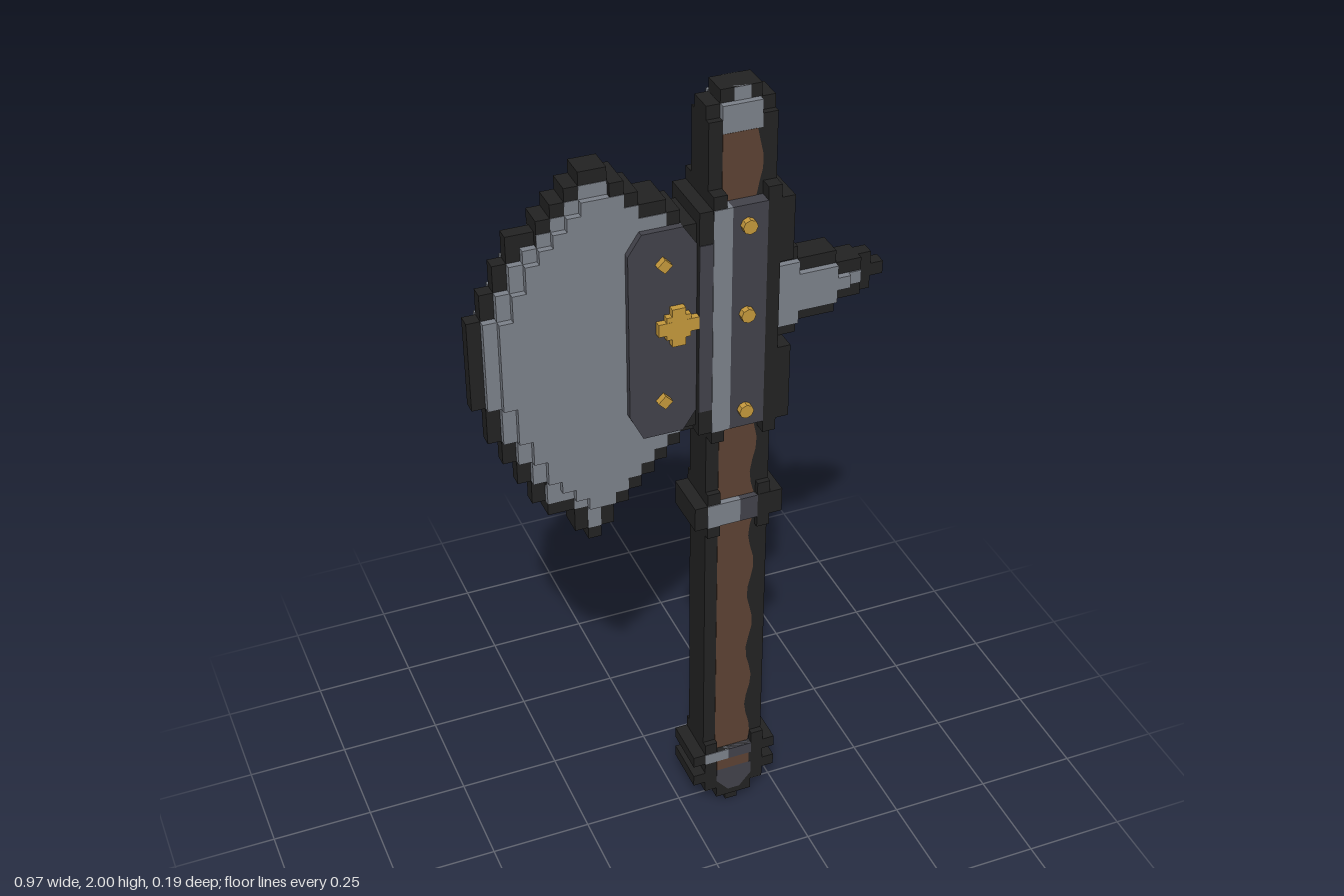
import * as THREE from 'three';

const U = 1 / 32;                       // one grid cell
const X = (c) => (c - 15.5) * U;        // column to x
const mat = (name, color) => Object.assign(new THREE.MeshStandardMaterial({ color }), { name });

export function createModel() {
  const model = new THREE.Group();
  model.name = 'battleAxe';
  const black = mat('black outline', 0x222222);
  const steel = mat('steel', 0x7c818a);
  const iron = mat('dark iron', 0x42424a);
  const wood = mat('brown wood', 0x5c4233);
  const gold = mat('gold', 0xc4983c);

  const add = (name, geometry, material) => {
    const mesh = new THREE.Mesh(geometry, material);
    mesh.name = name;
    model.add(mesh);
    return mesh;
  };
  // Box between grid columns and rows, reaching z cells to front and back
  const box = (name, m, c0, c1, r0, r1, z) => {
    const g = new THREE.BoxGeometry((c1 - c0) * U, (r1 - r0) * U, 2 * z * U);
    return add(name, g.translate(X((c0 + c1) / 2), (r0 + r1) / 2 * U, 0), m);
  };
  // Extruded outline given in grid cells
  const plate = (name, m, points, z) => {
    const shape = new THREE.Shape(points.map(([c, r]) => new THREE.Vector2(X(c), r * U)));
    const g = new THREE.ExtrudeGeometry(shape, { depth: 2 * z * U, bevelEnabled: false });
    return add(name, g.translate(0, 0, -z * U), m);
  };
  // Stepped slab from rows of [row, first column, last column]
  const slab = (name, m, rows, z) => {
    const ok = rows.filter(([, a, b]) => b > a);
    const right = ok.flatMap(([y, , b]) => [[b, y], [b, y + 1]]);
    const left = ok.flatMap(([y, a]) => [[a, y], [a, y + 1]]).reverse();
    return plate(name, m, [...right, ...left], z);
  };
  const inset = (rows) => rows.slice(1, -1).map(([y, a, b], i) => [y,
    Math.max(rows[i][1], a + 1, rows[i + 2][1]), Math.min(rows[i][2], b - 1, rows[i + 2][2])]);
  const clampLeft = (rows, c) => rows.map(([y, a, b]) => [y, Math.max(a, c), b]);
  const clampRight = (rows, c) => rows.map(([y, a, b]) => [y, a, Math.min(b, c)]);

  // Blade: dark stepped rim with steel thickening towards the middle
  const bladeLeft = [8, 7, 7, 5, 4, 4, 3, 3, 2, 2, 1, 1, 1, 0, 0, 0, 0, 0, 0, 0, 1, 1, 2, 2, 3, 3, 5, 6, 7, 8];
  const bladeRight = [9, 10, 10, 11, 12, 13, 14, 15, 16, 16, ...Array(14).fill(17), 16, 15, 14, 12, 11, 10];
  const blade = bladeLeft.map((a, i) => [30 + i, a, bladeRight[i]]);
  slab('bladeRim', black, blade, 0.5);
  slab('bladeRimMiddle', black, clampLeft(blade, 5), 0.98);
  slab('bladeRimInner', black, clampLeft(blade, 10), 1.45);
  const bevel = inset(blade);
  const face = inset(bevel).map(([y, a], i) => [y, a, bevel[i + 1][2]]);
  slab('bladeBevel', steel, bevel, 1.02);
  slab('bladeFace', steel, face, 1.5);

  // Rear spike
  const spike = [24, 27, 30, 31, 30, 27, 24].map((b, i) => [44 + i, 20, b]);
  slab('spikeTip', black, spike, 0.5);
  slab('spikeRim', black, clampRight(spike, 29), 1);
  slab('spikeFace', steel, clampRight(inset(spike), 29), 1.1);
  slab('spikeCore', steel, clampRight(inset(spike), 28), 1.5);

  // Handle: dark sides, wood faces with a wavy edge, steel cap
  box('handleSides', black, 17, 22, 6, 62, 1.48);
  box('handleTop', black, 17, 22, 62, 63, 1);
  box('handleTip', black, 18, 21, 63, 64, 1);
  const edge = [];
  for (let r = 6; r <= 61; r += 1) edge.push([20.75 + 0.25 * Math.sin(r * 1.1), r]);
  plate('handleWood', wood, [[18, 6], ...edge, [18, 61]], 1.52);
  box('handleCap', steel, 18, 20.9, 61, 63.02, 1.5);
  box('handleCapTip', steel, 19, 20.2, 63, 64, 1.03);

  // Collar halfway up the handle
  box('collarBand', black, 16, 23, 29, 31, 1.95);
  for (const c of [17, 21]) box('collarSide', black, c, c + 1, 28, 32, 1.93);
  box('collarSteel', steel, 17, 19.6, 29, 31, 2);
  box('collarIron', iron, 19.6, 21, 29, 31, 2);

  // Pommel: stepped dark body with metal and wood bands
  box('pommelTip', black, 19, 20, 0, 1, 1.5);
  slab('pommelBody', black, [[1, 18, 21], [2, 17, 22], [3, 16, 23], [4, 17, 22], [5, 16, 23]], 1.95);
  for (const c of [17, 21]) box('pommelSide', black, c, c + 1, 5, 7, 1.95);
  plate('pommelIron', iron, [[19, 1.6], [20, 1.6], [21, 2.8], [21, 4], [18, 4], [18, 2.8]], 2);
  box('pommelWood', wood, 18, 20.8, 4, 5, 2);
  box('pommelBandSteel', steel, 17, 19, 5, 6, 2);
  box('pommelBandIron', iron, 19, 21, 5, 6, 2);

  // Head socket around the handle
  for (const c of [17, 21]) box('socketSide', black, c, c + 1, 37, 57, 2.46);
  for (const r of [38, 51]) box('socketBack', black, 22, 23, r, r + (r === 38 ? 6 : 5), 2.46);
  box('socketIron', iron, 18.3, 21, 38, 56, 2.5);
  box('socketSteel', steel, 17.02, 18.4, 38, 56, 2.51);
  box('socketBridge', black, 16, 17, 38, 56, 2.44);
  box('bridgePlate', iron, 16, 17, 40, 53.5, 2.5);

  // Cheek plate joining blade and socket
  box('cheekBacking', black, 14, 16, 38.6, 55, 1.9);
  plate('cheekPlate', iron, [[11, 40.5], [12, 38.5], [15, 38.5], [16, 40], [16, 53.5], [15, 55], [12, 55], [11, 53.5]], 2);

  // Gold cross and rivets, showing on both faces
  box('crossBar', gold, 13, 16, 47, 48, 2.5);
  box('crossPost', gold, 14, 15, 46, 49, 2.52);
  box('crossCentre', gold, 13.6, 15.4, 46.6, 48.4, 2.48);
  const rivet = (c, r, z, sides) => {
    const g = new THREE.CylinderGeometry(0.55 * U, 0.55 * U, 2 * z * U, sides).toNonIndexed();
    g.rotateX(Math.PI / 2).computeVertexNormals();
    add('rivet', g.translate(X(c), r * U, 0), gold);
  };
  for (const r of [41.5, 52.5]) rivet(13.5, r, 2.5, 4);
  for (const r of [39.5, 47.5, 54.5]) rivet(19.5, r, 3, 8);

  return model;
}
